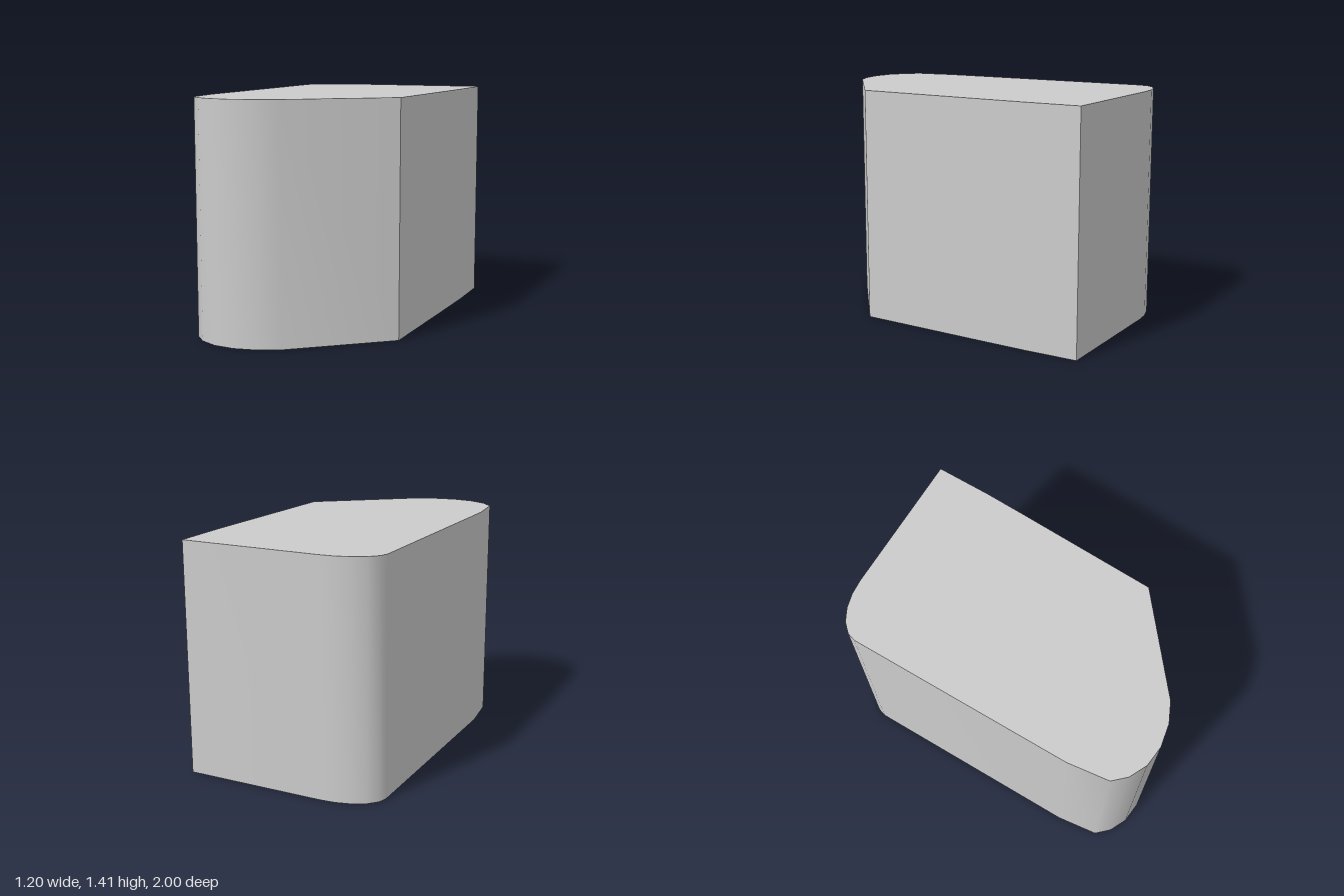
import * as THREE from 'three';
import { toCreasedNormals } from 'three/addons/utils/BufferGeometryUtils.js';

const HEIGHT = 1.41;

// Plan outline as [x, z]
const OUTLINE = [
  [0.585, -1], [0.595, -0.67], [0.595, -0.41], [0.59, 0.455], // left side
  [0.06, 0.91], [-0.06, 0.97], [-0.2, 1], [-0.33, 0.99], // angled front and rounded nose
  [-0.44, 0.94], [-0.515, 0.865], [-0.555, 0.61], // front right curve
  [-0.6, -0.785], [-0.585, -0.84], [-0.535, -0.895], // right side and rounded back corner
  [-0.46, -0.938], [-0.37, -0.965], [-0.28, -0.975],
];

export function createModel() {
  const group = new THREE.Group();
  group.name = 'roundedBlock';

  // Upright prism: outline drawn in plan, extruded upwards
  const shape = new THREE.Shape(OUTLINE.map(([x, z]) => new THREE.Vector2(x, -z)));
  const prism = new THREE.ExtrudeGeometry(shape, { depth: HEIGHT, bevelEnabled: false });
  prism.rotateX(-Math.PI / 2);

  // Smooth curved walls, sharp corners and rims
  const body = new THREE.Mesh(
    toCreasedNormals(prism, 0.72),
    new THREE.MeshStandardMaterial({ color: 0xcccccc })
  );
  body.name = 'body';
  group.add(body);
  return group;
}
